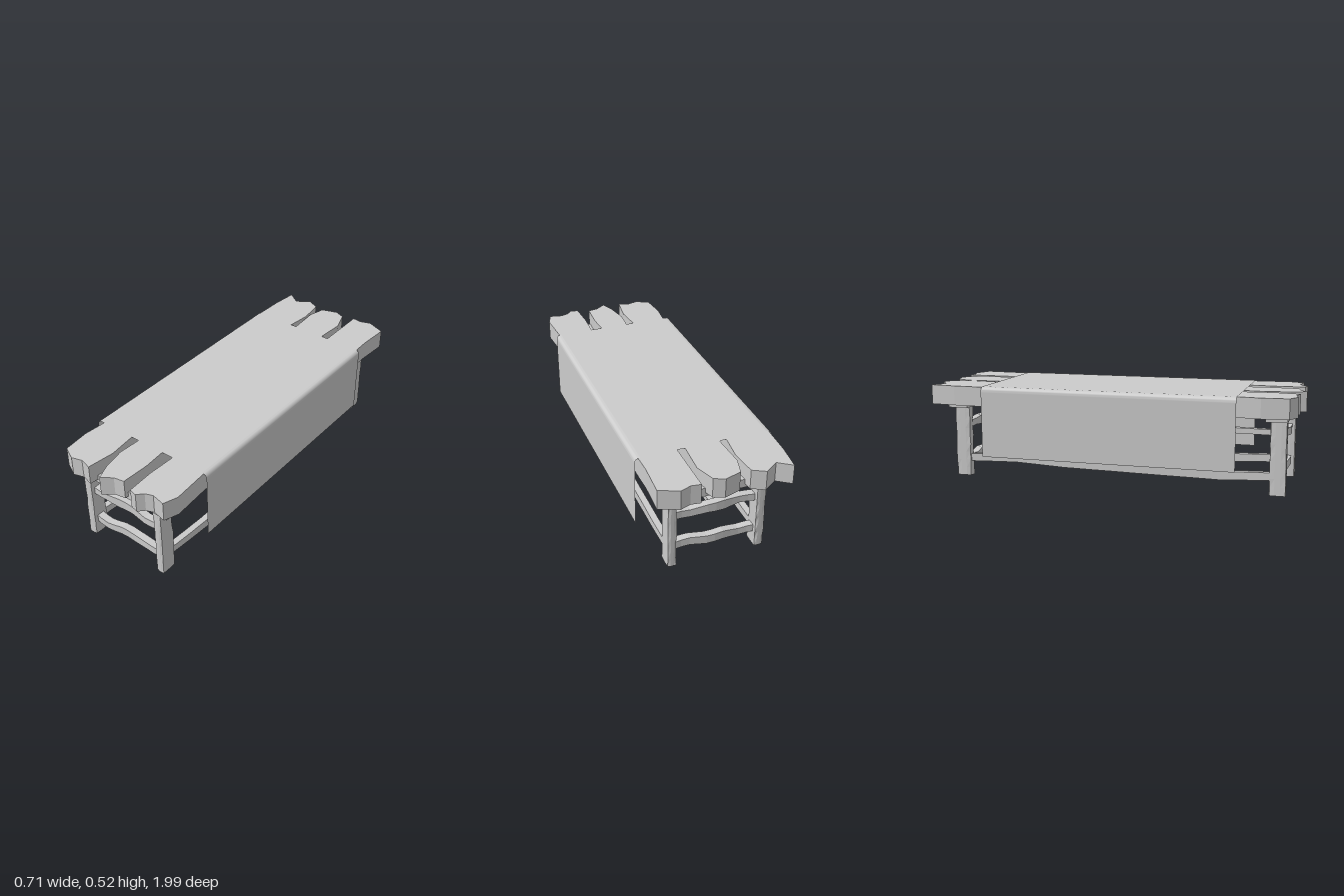
import * as THREE from 'three';
import { toCreasedNormals } from 'three/addons/utils/BufferGeometryUtils.js';

const wood = new THREE.MeshStandardMaterial({ color: 0xcccccc, flatShading: true });
const fabric = new THREE.MeshStandardMaterial({ color: 0xcccccc, side: THREE.DoubleSide });

// Repeatable 0..1 value for a position, so shared corners move together
const hash = (a, b, c) => {
  const s = Math.sin(a * 127.1 + b * 311.7 + c * 74.7) * 43758.5453;
  return s - Math.floor(s);
};

// Piecewise linear height along a rail, t from 0 to 1
function sample(list, t) {
  const f = THREE.MathUtils.clamp(t, 0, 1) * (list.length - 1);
  const i = Math.min(Math.floor(f), list.length - 2);
  return THREE.MathUtils.lerp(list[i], list[i + 1], f - i);
}

export function createModel() {
  const model = new THREE.Group();
  const add = (name, geometry, material = wood) => {
    const mesh = new THREE.Mesh(geometry, material);
    mesh.name = name;
    model.add(mesh);
    return mesh;
  };
  const box = (name, x0, x1, y0, y1, z0, z1) => {
    const mesh = add(name, new THREE.BoxGeometry(x1 - x0, y1 - y0, z1 - z0));
    mesh.position.set((x0 + x1) / 2, (y0 + y1) / 2, (z0 + z1) / 2);
  };

  // Planks with ragged ends: [x, z] outlines
  const outlines = {
    rightPlank: [[-0.34, -0.7], [-0.335, -0.86], [-0.32, -1], [-0.25, -0.95], [-0.18, -1], [-0.115, -0.965],
      [-0.1, -0.83], [-0.115, -0.7], [-0.125, 0.67], [-0.11, 0.82], [-0.13, 0.966], [-0.19, 0.95],
      [-0.245, 0.966], [-0.315, 0.93], [-0.327, 0.79], [-0.315, 0.67]],
    middlePlank: [[-0.08, -0.7], [-0.09, -0.87], [-0.065, -0.96], [0.02, -0.987], [0.075, -0.965], [0.11, -0.86],
      [0.1, -0.7], [0.075, 0.67], [0.083, 0.79], [0.075, 0.94], [0.02, 0.95], [-0.035, 0.99],
      [-0.065, 0.91], [-0.088, 0.79], [-0.08, 0.67]],
    leftPlank: [[0.14, -0.7], [0.14, -0.987], [0.19, -0.98], [0.245, -1], [0.345, -0.96], [0.335, -0.79],
      [0.337, -0.7], [0.335, 0.67], [0.347, 0.87], [0.32, 0.945], [0.25, 0.93], [0.21, 0.945],
      [0.18, 0.976], [0.14, 0.966], [0.133, 0.82], [0.14, 0.67]],
  };
  for (const [name, points] of Object.entries(outlines)) {
    const shape = new THREE.Shape(points.map(([x, z]) => new THREE.Vector2(x, -z)));
    const geometry = new THREE.ExtrudeGeometry(shape, { depth: 0.105, bevelEnabled: false });
    add(name, geometry.rotateX(-Math.PI / 2).translate(0, 0.408, 0));
  }

  // Beams under the planks
  box('frontBeam', -0.285, 0.315, 0.387, 0.433, 0.81, 0.92);
  box('backBeam', -0.285, 0.315, 0.387, 0.433, -0.92, -0.81);
  box('middleBeam', -0.285, 0.315, 0.405, 0.433, -0.05, 0.05);

  // Rough legs with chipped edges
  const legX = { right: -0.213, left: 0.245 }, legZ = { front: 0.872, back: -0.862 };
  for (const [end, z] of Object.entries(legZ)) {
    for (const [side, x] of Object.entries(legX)) {
      const geometry = new THREE.BoxGeometry(0.046, 0.4, 0.086, 3, 9, 3);
      const p = geometry.attributes.position;
      for (let i = 0; i < p.count; i++) {
        const lx = p.getX(i), lz = p.getZ(i);
        if (Math.abs(lx) < 0.02 || Math.abs(lz) < 0.04) continue;
        const chip = 0.13 * hash(Math.sign(lx) + x, Math.round(p.getY(i) * 100), Math.sign(lz) + z);
        p.setX(i, lx * (1 - chip));
        p.setZ(i, lz * (1 - chip));
      }
      add(end + side[0].toUpperCase() + side.slice(1) + 'Leg', geometry.translate(x, 0.2, z));
    }
  }

  // Wavy rails, built along x between two height lists; turned to run along z if needed
  const rail = (name, length, depth, bottoms, tops, position, alongZ) => {
    const geometry = new THREE.BoxGeometry(length, 1, depth, (bottoms.length - 1) * 2, 1, 1);
    const p = geometry.attributes.position;
    for (let i = 0; i < p.count; i++) {
      const t = p.getX(i) / length + 0.5;
      p.setY(i, sample(p.getY(i) > 0 ? tops : bottoms, t));
      p.setZ(i, p.getZ(i) + 0.006 * Math.sin(t * 9));
    }
    if (alongZ) geometry.rotateY(Math.PI / 2);
    add(name, geometry.translate(...position));
  };
  for (const [end, z] of Object.entries(legZ)) {
    rail(end + 'UpperRail', 0.43, 0.04, [0.262, 0.268, 0.256, 0.26, 0.252, 0.257],
      [0.3, 0.304, 0.309, 0.305, 0.292, 0.298], [0.016, 0, z]);
    rail(end + 'LowerRail', 0.43, 0.04, [0.075, 0.07, 0.076, 0.072, 0.082, 0.078],
      [0.114, 0.108, 0.121, 0.117, 0.124, 0.119], [0.016, 0, z]);
  }
  for (const [side, x] of Object.entries(legX)) {
    rail(side + 'LongRail', 1.68, 0.034, [0.078, 0.063, 0.068, 0.074, 0.077, 0.088, 0.08],
      [0.118, 0.108, 0.122, 0.126, 0.128, 0.134, 0.12], [x, 0, 0.005], true);
  }
  rail('upperCentreRail', 1.72, 0.035, [0.268, 0.27, 0.266, 0.27, 0.267],
    [0.298, 0.3, 0.296, 0.3, 0.293], [0.016, 0, 0.005], true);
  rail('middleCrossRail', 0.45, 0.06, [0.076, 0.074, 0.078], [0.112, 0.11, 0.115], [0.016, 0, 0]);

  // Cloth draped over the planks, with rounded shoulders
  const half = [[0, 0.516], [0.3, 0.516], [0.325, 0.516]];
  for (let i = 0; i <= 6; i++) {
    const a = (i / 6) * Math.PI / 2;
    half.push([0.33 + 0.025 * Math.sin(a), 0.491 + 0.025 * Math.cos(a)]);
  }
  half.push([0.355, 0.485], [0.355, 0.137]);
  const profile = [...half.slice(1).reverse().map(([x, y]) => [-x, y]), ...half];
  const cloth = new THREE.PlaneGeometry(1, 1, profile.length - 1, 1);
  const p = cloth.attributes.position;
  for (let i = 0; i < p.count; i++) {
    const [x, y] = profile[i % profile.length];
    p.setXYZ(i, x, y, i < profile.length ? -0.695 : 0.673);
  }
  add('cloth', toCreasedNormals(cloth, 0.5), fabric);
  return model;
}
